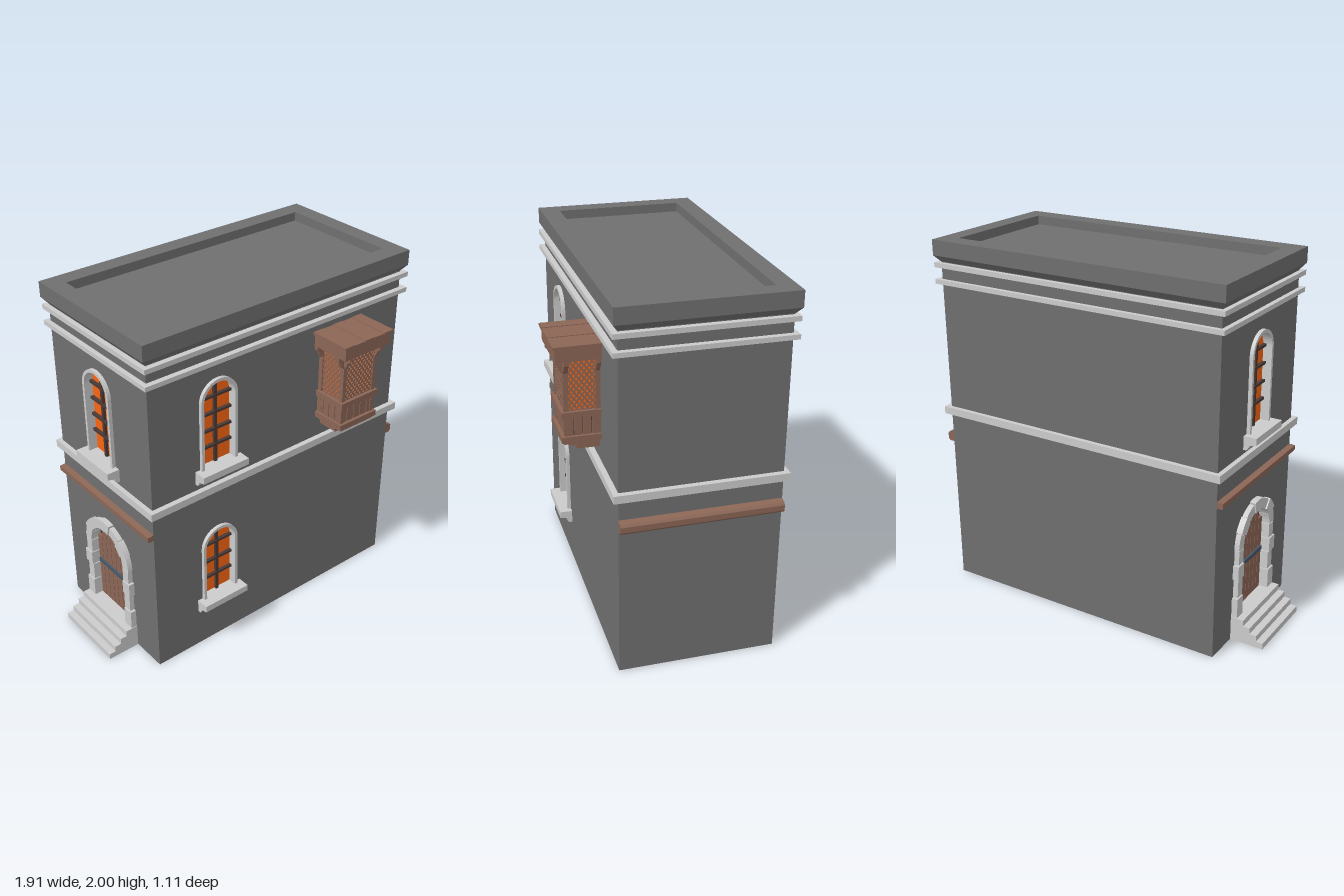
import * as THREE from 'three';

const mat = (color) => new THREE.MeshStandardMaterial({ color, side: THREE.DoubleSide });
const STONE = mat(0xcccccc), WALL = mat(0x6f6f6f), WOOD = mat(0x8c6656), DARK = mat(0x4a3a36);
const GLASS = mat(0xfa6612), IRON = mat(0x46586a);
const X0 = -0.77, X1 = 0.915, Z0 = -0.53, Z1 = 0.315, WALL_TOP = 1.88;

function add(parent, name, geo, material) {
  const m = new THREE.Mesh(geo, material);
  m.name = name;
  parent.add(m);
  return m;
}

// Box given by its limits on each axis
function box(parent, name, material, x0, x1, y0, y1, z0, z1) {
  const m = add(parent, name, new THREE.BoxGeometry(x1 - x0, y1 - y0, z1 - z0), material);
  m.position.set((x0 + x1) / 2, (y0 + y1) / 2, (z0 + z1) / 2);
  return m;
}

const poly = (pts) => new THREE.Shape(pts.map((p) => new THREE.Vector2(...p)));
const rect = (x0, x1, y0, y1) => poly([[x0, y0], [x1, y0], [x1, y1], [x0, y1]]);
const extrude = (shape, depth) =>
  new THREE.ExtrudeGeometry(shape, { depth, bevelEnabled: false, curveSegments: 12 });

// Round-headed opening centred on cx
function arch(cx, hw, y0, top) {
  const s = new THREE.Shape();
  s.moveTo(cx - hw, y0);
  s.lineTo(cx + hw, y0);
  s.lineTo(cx + hw, top - hw);
  s.absarc(cx, top - hw, hw, 0, Math.PI, false);
  s.lineTo(cx - hw, y0);
  return s;
}

// Moulding: profile of [outward, up] points swept sideways along the wall
function moulding(parent, name, material, pts, x0, x1) {
  const geo = extrude(poly(pts), x1 - x0);
  geo.rotateY(-Math.PI / 2);
  const m = add(parent, name, geo, material);
  m.position.x = x1;
  return m;
}

// Horizontal rectangular ring around the building
function ring(parent, name, material, out, inn, y0, y1) {
  const s = rect(...out);
  s.holes.push(rect(...inn));
  const geo = extrude(s, y1 - y0);
  geo.rotateX(Math.PI / 2);
  add(parent, name, geo, material).position.y = y1;
}

// Wall frame: local x runs along the wall, local z points outward
function wall(root, name, pos, turn, x0, x1, openings) {
  const g = new THREE.Group();
  g.name = name;
  g.position.set(...pos);
  g.rotation.y = turn;
  const s = rect(x0, x1, 0, WALL_TOP);
  s.holes.push(...openings);
  add(g, name + 'Surface', new THREE.ShapeGeometry(s, 12), WALL);
  root.add(g);
  return g;
}

function archWindow(parent, cx, y0, top, bars) {
  const g = new THREE.Group();
  g.name = 'archWindow';
  g.position.x = cx;
  parent.add(g);
  const frame = arch(0, 0.116, y0 - 0.03, top);
  frame.holes.push(arch(0, 0.099, y0, top - 0.017));
  add(g, 'windowFrame', extrude(frame, 0.07), STONE).position.z = -0.05;
  add(g, 'windowPane', new THREE.ShapeGeometry(arch(0, 0.1, y0 - 0.01, top - 0.016), 12), GLASS).position.z = -0.03;
  box(g, 'mullion', DARK, -0.009, 0.009, y0, top - 0.017, -0.03, -0.015);
  for (const y of bars) box(g, 'glazingBar', DARK, -0.099, 0.099, y - 0.007, y + 0.007, -0.03, -0.012);
  moulding(g, 'windowSill', STONE, [[0, y0], [0.072, y0], [0.072, y0 - 0.038], [0.034, y0 - 0.046],
    [0.028, y0 - 0.062], [0.018, y0 - 0.075], [0, y0 - 0.075]], -0.147, 0.147);
}

// Diagonal lattice in front of a coloured panel, centred on its own origin
function lattice(w, h) {
  const g = new THREE.Group(), slope = 1.3, step = 0.0265;
  g.name = 'latticeScreen';
  add(g, 'latticePanel', new THREE.PlaneGeometry(w, h), GLASS);
  const reach = w / 2 + h / 2 / slope;
  for (const dir of [-1, 1]) {
    for (let c = -reach + step / 2; c < reach; c += step) {
      const ya = Math.max(-h / 2, (-w / 2 - c) * slope), yb = Math.min(h / 2, (w / 2 - c) * slope);
      if (yb - ya < 0.01) continue;
      const len = (yb - ya) * Math.hypot(1, 1 / slope), ym = (ya + yb) / 2;
      const bar = add(g, 'latticeBar', new THREE.BoxGeometry(0.008, len, 0.006), WOOD);
      bar.position.set(dir * (c + ym / slope), ym, 0.005);
      bar.rotation.z = -dir * Math.atan(1 / slope);
    }
  }
  return g;
}

function orielWindow(parent) {
  const g = new THREE.Group();
  g.name = 'orielWindow';
  g.position.x = 0.46;
  parent.add(g);
  // Planked canopy
  for (let i = 0; i < 5; i++) {
    const x = -0.173 + i * 0.0692;
    box(g, 'canopyPlank', WOOD, x, x + 0.0675, 1.696, 1.711 - (i % 2) * 0.003, 0, 0.24);
  }
  box(g, 'canopyBox', WOOD, -0.16, 0.16, 1.627, 1.696, 0, 0.23);
  // Lattice bay with corner posts
  for (const s of [-1, 1]) {
    for (const z of [0, 0.16]) box(g, 'cornerPost', WOOD, s * 0.109 - 0.012, s * 0.109 + 0.012, 1.185, 1.63, z, z + 0.026);
    const side = lattice(0.14, 0.285);
    side.position.set(s * 0.108, 1.49, 0.093);
    side.rotation.y = s * Math.PI / 2;
    g.add(side);
    // Curved brackets below the canopy
    const pts = [[0, 0], [0.04, 0], [0.04, -0.022], [0.024, -0.034], [0.014, -0.06], [0, -0.075]];
    for (const z of [0.013, 0.173]) {
      const b = add(g, 'canopyBracket', extrude(poly(pts.map(([x, y]) => [s * x, y])), 0.022), WOOD);
      b.position.set(s * 0.12, 1.627, z - 0.011);
    }
    moulding(g, 'canopyBracket', WOOD, pts.map(([z, y]) => [z + 0.185, y + 1.627]), s * 0.109 - 0.011, s * 0.109 + 0.011);
  }
  const front = lattice(0.196, 0.285);
  front.position.set(0, 1.49, 0.174);
  g.add(front);
  // Rails and boarded apron
  for (const [y0, y1] of [[1.317, 1.35], [1.185, 1.217]]) box(g, 'rail', WOOD, -0.133, 0.133, y0, y1, 0, 0.2);
  box(g, 'apronCore', DARK, -0.112, 0.112, 1.2, 1.33, 0, 0.17);
  for (let i = 0; i < 5; i++) {
    const x = -0.119 + i * 0.048;
    box(g, 'apronBoard', WOOD, x, x + 0.044, 1.217, 1.317, 0.165, 0.182);
  }
  for (const s of [-1, 1]) {
    for (let i = 0; i < 4; i++) box(g, 'sideBoard', WOOD, s * 0.112 - 0.008, s * 0.112 + 0.008, 1.217, 1.317, 0.004 + i * 0.045, 0.044 + i * 0.045);
  }
  // Stepped brackets below the floor
  box(g, 'orielFloor', WOOD, -0.115, 0.115, 1.168, 1.185, 0, 0.185);
  for (let i = 0; i < 4; i++) {
    const x = -0.078 + i * 0.052;
    box(g, 'floorBracket', WOOD, x - 0.018, x + 0.018, 1.15, 1.168, 0, 0.155);
    box(g, 'floorBracket', WOOD, x - 0.014, x + 0.014, 1.127, 1.15, 0, 0.12);
  }
}

function doorway(parent, cx) {
  const g = new THREE.Group(), base = 0.135, spring = 0.53, r0 = 0.152, r1 = 0.215;
  g.name = 'doorway';
  g.position.x = cx;
  parent.add(g);
  // Jamb blocks
  const ys = [base, 0.25, 0.36, 0.445, spring];
  for (const s of [-1, 1]) {
    for (let i = 0; i < 4; i++) {
      const out = r1 - (i % 2) * 0.012, xs = [s * r0, s * out].sort((a, b) => a - b);
      box(g, 'jambBlock', STONE, ...xs, ys[i] + 0.002, ys[i + 1] - 0.002, -0.04, 0.034 - (i % 2) * 0.006);
    }
  }
  // Arch stones
  for (let i = 0; i < 7; i++) {
    const a = (i * Math.PI) / 7 + 0.01, b = ((i + 1) * Math.PI) / 7 - 0.01, s = new THREE.Shape();
    s.absarc(0, spring, r1 - (i % 2 ? 0 : 0.008), a, b, false);
    s.absarc(0, spring, r0, b, a, true);
    add(g, 'archStone', extrude(s, i % 2 ? 0.074 : 0.068), STONE).position.z = -0.04;
  }
  // Plank door with an iron strap
  add(g, 'doorLeaf', new THREE.ShapeGeometry(arch(0, 0.16, base, 0.69), 12), DARK).position.z = -0.03;
  for (let i = 0; i < 7; i++) {
    const x = -0.152 + i * 0.0435, far = Math.max(Math.abs(x), Math.abs(x + 0.04));
    const top = spring + Math.sqrt(Math.max(0, 0.155 ** 2 - far ** 2));
    box(g, 'doorPlank', WOOD, x, x + 0.04, base, top, -0.04, -0.016);
  }
  box(g, 'doorStrap', IRON, -0.14, 0.14, 0.375, 0.398, -0.02, -0.006);
  // Front steps
  const pts = [[-0.02, 0]];
  for (let i = 0; i < 4; i++) {
    const out = 0.19 - i * 0.039;
    pts.push([out, i * 0.034], [out, (i + 1) * 0.034]);
  }
  pts.push([-0.02, 0.136]);
  moulding(g, 'frontSteps', STONE, pts, -0.218, 0.218);
}

export function createModel() {
  const root = new THREE.Group();
  root.name = 'townHouse';

  // Walls, open underneath
  const front = wall(root, 'frontWall', [0, 0, Z1], 0, X0, X1,
    [arch(-0.35, 0.108, 0.31, 0.76), arch(-0.35, 0.108, 1.168, 1.664)]);
  const left = wall(root, 'doorWall', [X0, 0, 0], -Math.PI / 2, Z0, Z1,
    [arch(-0.115, 0.18, 0.135, 0.71), arch(-0.115, 0.108, 1.15, 1.664)]);
  const right = wall(root, 'plainSideWall', [X1, 0, 0], Math.PI / 2, -Z1, -Z0, []);
  wall(root, 'backWall', [0, 0, Z0], Math.PI, -X1, -X0, []);

  // Openings
  archWindow(front, -0.35, 0.314, 0.768, [0.428, 0.535, 0.65]);
  archWindow(front, -0.35, 1.17, 1.672, [1.275, 1.37, 1.467, 1.562]);
  archWindow(left, -0.115, 1.154, 1.672, [1.275, 1.37, 1.467, 1.562]);
  orielWindow(front);
  doorway(left, -0.112);

  // Timber beams on the side walls
  moulding(right, 'timberBeam', WOOD, [[0, 0.84], [0.03, 0.84], [0.04, 0.852], [0.04, 0.882], [0.03, 0.895], [0, 0.903]], -Z1, -Z0);
  moulding(left, 'timberBeam', WOOD, [[0, 0.865], [0.03, 0.865], [0.034, 0.87], [0.034, 0.897], [0, 0.9]], Z0, Z1);

  // Stone string courses (plan y axis maps to z)
  const inner = [X0, X1, Z0, Z1];
  for (const [y0, y1] of [[1.013, 1.055], [1.76, 1.785], [1.85, 1.876]]) {
    ring(root, 'stringCourse', STONE, [-0.796, 0.945, -0.555, 0.345], inner, y0, y1);
  }

  // Flared cornice, parapet and sunken roof
  const flare = new THREE.BoxGeometry(1.745, 0.035, 0.9);
  const p = flare.attributes.position;
  for (let i = 0; i < p.count; i++) {
    if (p.getY(i) < 0) p.setXYZ(i, p.getX(i) * 0.966, p.getY(i), p.getZ(i) * 0.939);
  }
  flare.computeVertexNormals();
  add(root, 'cornice', flare, WALL).position.set(0.0725, 1.8975, -0.109);
  ring(root, 'parapet', WALL, [-0.8, 0.945, -0.559, 0.341], [-0.7, 0.845, -0.459, 0.236], 1.915, 2);
  box(root, 'roofFloor', WALL, -0.7, 0.845, 1.916, 1.95, -0.459, 0.236);
  return root;
}
